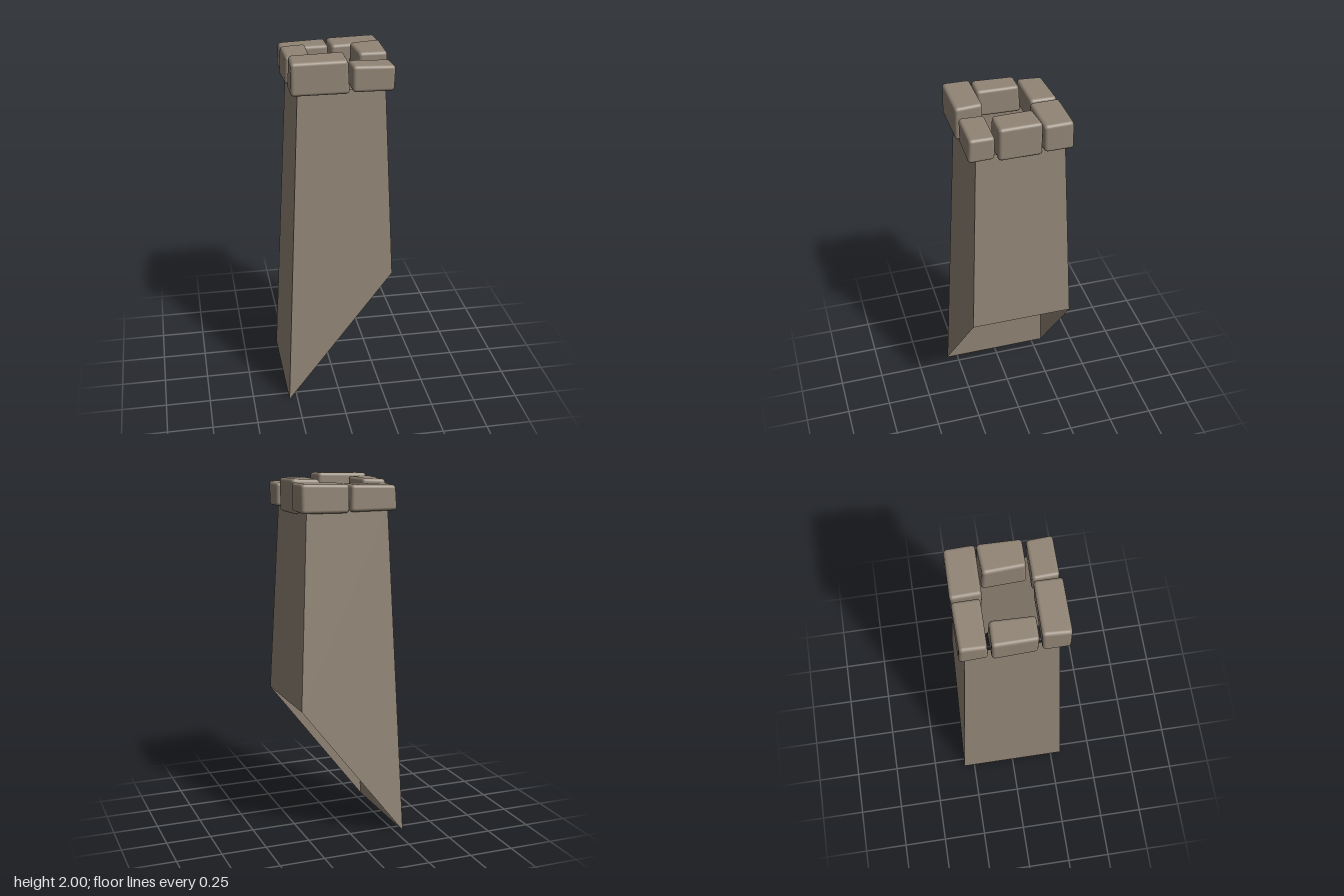
import * as THREE from 'three';
import { RoundedBoxGeometry } from 'three/addons/geometries/RoundedBoxGeometry.js';

const stone = new THREE.MeshStandardMaterial({ color: 0x918475, side: THREE.DoubleSide });
stone.name = 'warm grey stone';

// Small seeded generator for the irregular stone corners
function seeded(seed) {
  return () => (seed = (seed * 16807) % 2147483647) / 2147483647;
}

// Tapered square tube, open at the top and along its slanted bottom
function shaftGeometry() {
  const bottom = [[-0.297, 0, 0.314], [0.296, 0.76, 0.28], [0.296, 0.76, -0.28], [-0.297, 0, -0.314]];
  const top = [[-0.215, 1.83, 0.234], [0.246, 1.83, 0.234], [0.246, 1.83, -0.234], [-0.215, 1.83, -0.234]];
  const points = [];
  for (let i = 0; i < 4; i++) {
    const j = (i + 1) % 4;
    points.push(...bottom[i], ...bottom[j], ...top[j], ...bottom[i], ...top[j], ...top[i]);
  }
  const geometry = new THREE.BufferGeometry();
  geometry.setAttribute('position', new THREE.Float32BufferAttribute(points, 3));
  geometry.computeVertexNormals();
  return geometry;
}

// Worn block filling the given bounds, with its eight corners pulled in a little
function blockGeometry([x0, x1], [y0, y1], [z0, z1], seed) {
  const size = [x1 - x0, y1 - y0, z1 - z0];
  const geometry = new RoundedBoxGeometry(...size, 3, 0.02);
  const random = seeded(seed);
  const pull = Array.from({ length: 8 }, () => [0, 1, 2].map(() => random() * 0.014));
  const p = geometry.attributes.position;
  for (let i = 0; i < p.count; i++) {
    const v = [p.getX(i), p.getY(i), p.getZ(i)];
    const t = v.map((c, k) => c / size[k] + 0.5);
    const moved = v.slice();
    for (let c = 0; c < 8; c++) {
      const bits = [c & 1, (c >> 1) & 1, (c >> 2) & 1];
      const weight = bits.reduce((w, b, k) => w * (b ? t[k] : 1 - t[k]), 1);
      bits.forEach((b, k) => { moved[k] += weight * pull[c][k] * (b ? -1 : 1); });
    }
    p.setXYZ(i, ...moved);
  }
  geometry.translate((x0 + x1) / 2, (y0 + y1) / 2, (z0 + z1) / 2);
  return geometry;
}

export function createModel() {
  const model = new THREE.Group();
  model.name = 'chimney';
  const add = (name, geometry) => {
    const mesh = new THREE.Mesh(geometry, stone);
    mesh.name = name;
    model.add(mesh);
  };

  add('shaft', shaftGeometry());

  // Ring of six cap stones: name, x range, y range, z range
  const stones = [
    ['backRightStone', [-0.26, 0.014], [1.81, 1.965], [-0.272, -0.118]],
    ['backLeftStone', [0.014, 0.29], [1.808, 1.975], [-0.274, -0.104]],
    ['rightStone', [-0.269, -0.12], [1.82, 1.985], [-0.114, 0.133]],
    ['leftStone', [0.113, 0.282], [1.793, 1.99], [-0.108, 0.13]],
    ['frontRightStone', [-0.258, 0.053], [1.812, 2.004], [0.132, 0.294]],
    ['frontLeftStone', [0.058, 0.295], [1.816, 1.964], [0.132, 0.288]],
  ];
  stones.forEach(([name, x, y, z], i) => add(name, blockGeometry(x, y, z, 97 + i * 7919)));

  return model;
}
